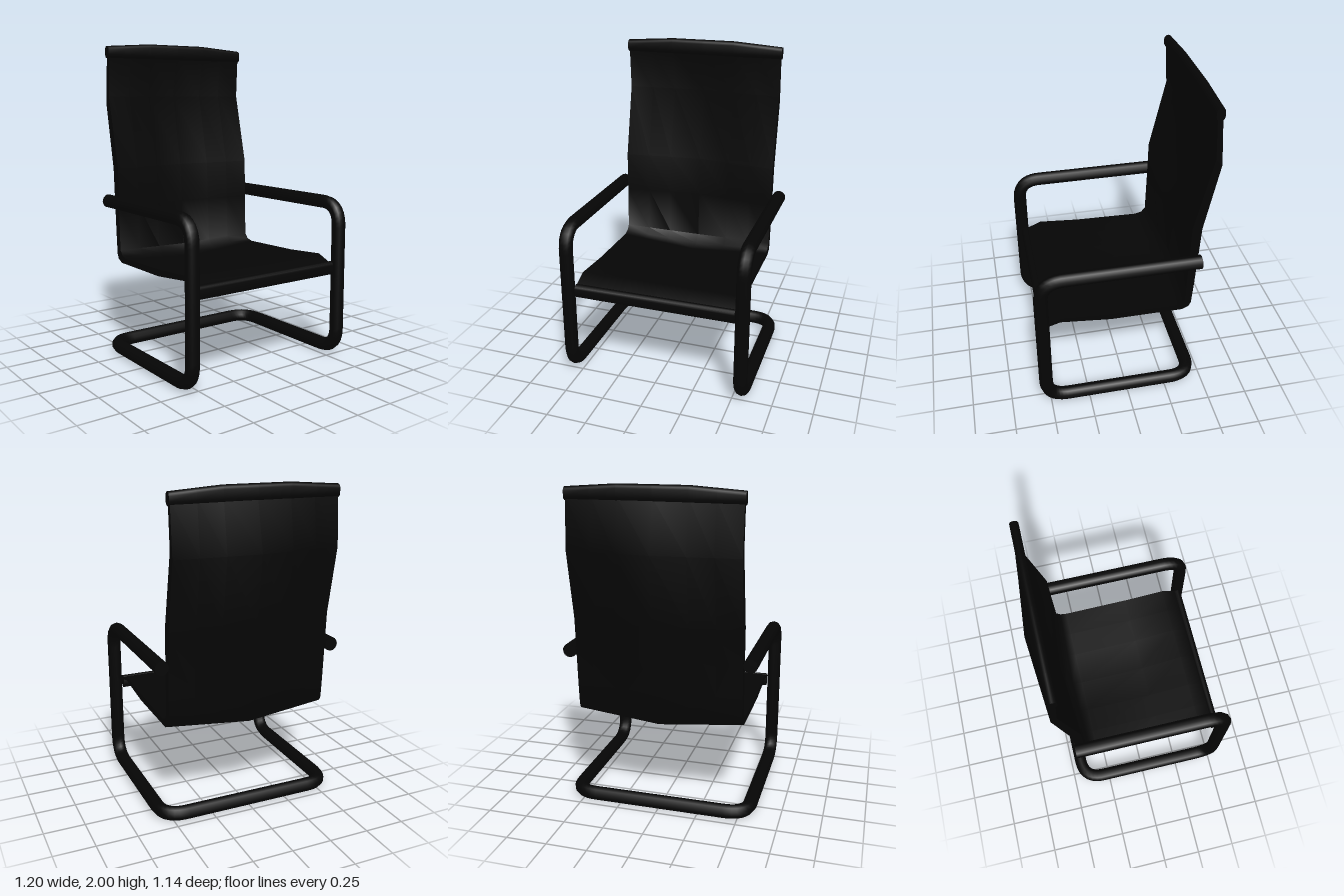
import * as THREE from 'three';
import { toCreasedNormals } from 'three/addons/utils/BufferGeometryUtils.js';

const black = new THREE.MeshStandardMaterial({ color: 0x050505, side: THREE.DoubleSide });
const TUBE_R = 0.043;

// Skins a closed [z, y] outline swept across the x stations; sectionAt(x) gives the outline there.
function loft(xs, sectionAt) {
  const positions = [], index = [];
  const rings = xs.map(sectionAt);
  const n = rings[0].length;
  rings.forEach((ring, i) => ring.forEach(([z, y]) => positions.push(xs[i], y, z)));
  for (let i = 0; i < xs.length - 1; i++) {
    for (let j = 0; j < n; j++) {
      const a = i * n + j, b = i * n + (j + 1) % n;
      index.push(a, b, a + n, b, b + n, a + n);
    }
  }
  // end caps
  const last = (xs.length - 1) * n;
  const outline = rings[0].map(([z, y]) => new THREE.Vector2(z, y));
  for (const [a, b, c] of THREE.ShapeUtils.triangulateShape(outline, [])) {
    index.push(a, b, c, last + a, last + c, last + b);
  }
  const geometry = new THREE.BufferGeometry();
  geometry.setAttribute('position', new THREE.Float32BufferAttribute(positions, 3));
  geometry.setIndex(index);
  return toCreasedNormals(geometry, 0.7);
}

// Upright capsule outline for the rolled hems; drop lowers its upper half
function hemRing(z, y, radius, straight, drop) {
  const ring = [];
  for (let i = 0; i < 14; i++) {
    const upper = i >= 7;
    const a = -(upper ? i - 1 : i) / 6 * Math.PI;
    ring.push([z + radius * Math.cos(a), y + radius * Math.sin(a) + (upper ? straight - drop : -straight)]);
  }
  return ring;
}

// Straight runs joined by rounded bends
function roundedPath(points, bend) {
  const path = new THREE.CurvePath();
  let start = points[0];
  for (let i = 1; i < points.length - 1; i++) {
    const p = points[i];
    const before = p.clone().add(points[i - 1].clone().sub(p).setLength(bend));
    const after = p.clone().add(points[i + 1].clone().sub(p).setLength(bend));
    path.add(new THREE.LineCurve3(start, before));
    path.add(new THREE.QuadraticBezierCurve3(before, p, after));
    start = after;
  }
  path.add(new THREE.LineCurve3(start, points[points.length - 1]));
  return path;
}

export function createModel() {
  const group = new THREE.Group();
  const add = (name, geometry) => {
    const mesh = new THREE.Mesh(geometry, black);
    mesh.name = name;
    group.add(mesh);
    return mesh;
  };

  // Cantilever frame: one tube from armrest to armrest
  const X = 0.557;
  const side = [[0.99, -0.44], [0.99, 0.527], [0.045, 0.527], [0.045, -0.432]];
  const points = [
    ...side.map(([y, z]) => new THREE.Vector3(X, y, z)),
    ...side.slice().reverse().map(([y, z]) => new THREE.Vector3(-X, y, z)),
  ];
  add('tubeFrame', new THREE.TubeGeometry(roundedPath(points, 0.14), 240, TUBE_R, 10));
  for (const s of [1, -1]) {
    const cap = add(s > 0 ? 'leftArmrestEnd' : 'rightArmrestEnd', new THREE.CircleGeometry(TUBE_R, 10));
    cap.position.set(s * X, 0.99, -0.44);
    cap.rotation.y = Math.PI;
  }

  // Sling at its side edges: [z, y, backward bow, downward sag at the middle]
  const profile = [
    [0.5, 0.612, 0, 0], [0.4, 0.655, 0, 0], [0.13, 0.635, 0, 0.035], [-0.3, 0.625, 0, 0.04],
    [-0.345, 0.637, 0.02, 0.035], [-0.372, 0.67, 0.04, 0.02], [-0.38, 0.95, 0.05, 0],
    [-0.385, 1.2, 0.06, 0], [-0.49, 1.66, 0.04, 0], [-0.475, 1.93, 0, 0],
    [-0.505, 1.93, 0, 0], [-0.528, 1.62, 0.045, 0], [-0.445, 1.2, 0.075, 0], [-0.422, 0.78, 0.05, 0],
    [-0.412, 0.64, 0.04, 0.02], [-0.398, 0.61, 0.035, 0.04], [-0.355, 0.59, 0.015, 0.048],
    [0.1, 0.592, 0, 0.047], [0.41, 0.625, 0, 0], [0.5, 0.598, 0, 0],
  ];
  const HALF = 0.514;
  const stations = [-1, -0.7, -0.4, 0, 0.4, 0.7, 1];
  add('sling', loft(stations.map(t => t * HALF), x => {
    const k = 1 - Math.abs(x) / HALF;
    return profile.map(([z, y, bow, sag]) => [z - bow * k, y - sag * k]);
  }));

  // Rolled top hem, slightly arched, and the rolled front hem
  const TOP = 0.522;
  add('topHem', loft(stations.map(t => t * TOP), x =>
    hemRing(-0.49, 1.95, 0.025, 0.025, 0.037 * Math.max(0, Math.abs(x) / TOP - 0.4))));
  add('frontHem', loft([-0.51, 0.51], () => hemRing(0.51, 0.582, 0.025, 0.018, 0)));

  return group;
}
